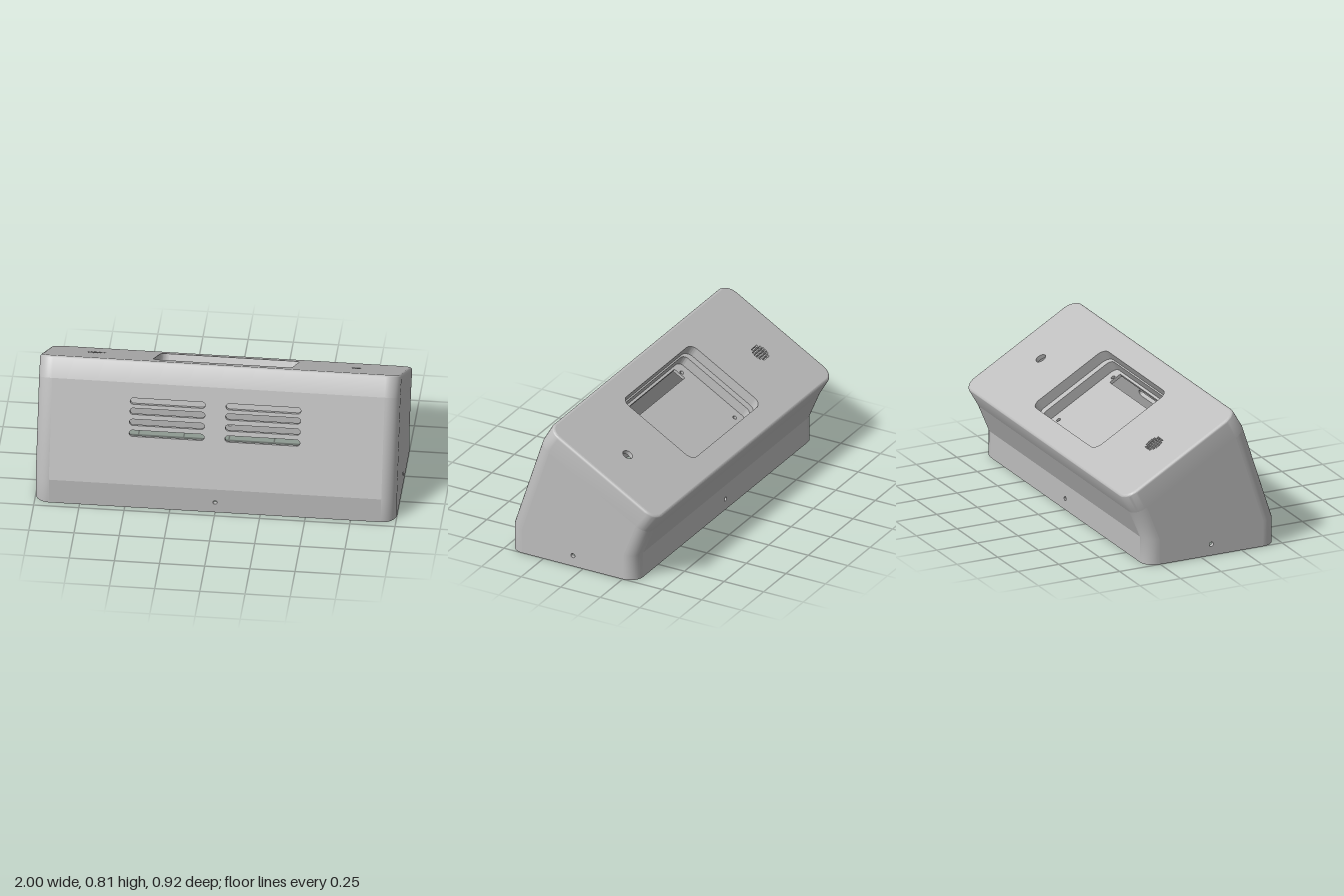
import * as THREE from 'three';
import { toCreasedNormals } from 'three/addons/utils/BufferGeometryUtils.js';

const R = 0.08;       // vertical corner radius
const T = 0.025;      // wall thickness
const B = 0.016;      // rounding of the top edge
const H = 0.125;      // height of the tilted collar
const L = 0.793;      // length of the sloped top
const U = [-0.866, -0.5];   // down-slope direction as (z, y)
const N = [-0.5, 0.866];    // normal of the sloped top as (z, y)

// Side profile points as (z, y)
const F0 = [0.465, 0], F1 = [0.465, 0.15], F2 = [0.285, 0.705];
const B0 = [-0.335, 0], B1 = [-0.335, 0.15];
const along = (p, d, k) => [p[0] + d[0] * k, p[1] + d[1] * k];
const B2 = along(F2, U, L);
const TOP_F = along(F2, N, H), TOP_B = along(B2, N, H);

const shell = new THREE.MeshStandardMaterial({ color: 0xbebebe });
shell.name = 'light grey plastic';
shell.side = THREE.DoubleSide;

function mesh(name, geometry) {
  const m = new THREE.Mesh(toCreasedNormals(geometry, 0.6), shell);
  m.name = name;
  return m;
}

// Rounded rectangle, or a plain one when r is 0
function rect(x0, y0, x1, y1, r = 0, Type = THREE.Path) {
  const p = new Type();
  if (!r) {
    p.moveTo(x0, y0).lineTo(x1, y0).lineTo(x1, y1).lineTo(x0, y1).closePath();
    return p;
  }
  const q = Math.PI / 2;
  p.moveTo(x0 + r, y0);
  p.absarc(x1 - r, y0 + r, r, -q, 0);
  p.absarc(x1 - r, y1 - r, r, 0, q);
  p.absarc(x0 + r, y1 - r, r, q, 2 * q);
  p.absarc(x0 + r, y0 + r, r, 2 * q, 3 * q);
  p.closePath();
  return p;
}
const disc = (x, y, r) => new THREE.Path().absarc(x, y, r, 0, Math.PI * 2);

// Plate whose outer face lies at the given local height
function plate(name, outline, holes, thickness, height = 0) {
  outline.holes.push(...holes);
  const g = new THREE.ExtrudeGeometry(outline, { depth: thickness, bevelEnabled: false, curveSegments: 10 });
  return mesh(name, g.translate(0, 0, height - thickness));
}

// Lay an object on the plane that runs from a to b in the side profile
function lay(object, a, b) {
  object.position.set(0, a[1], a[0]);
  object.rotation.x = Math.atan2(b[0] - a[0], b[1] - a[1]);
  return object;
}
const span = (a, b) => Math.hypot(b[0] - a[0], b[1] - a[1]);
function wall(name, a, b, holes = []) {
  const outline = rect(R - 1, 0, 1 - R, span(a, b), 0, THREE.Shape);
  return lay(plate(name, outline, holes, T), a, b);
}

// Skin a stack of closed rings
function loft(rings, extra = []) {
  const n = rings[0].length, index = [...extra];
  for (let i = 0; i < rings.length - 1; i++) {
    for (let j = 0; j < n; j++) {
      const a = i * n + j, b = i * n + (j + 1) % n;
      index.push(a, b, b + n, a, b + n, a + n);
    }
  }
  const g = new THREE.BufferGeometry().setFromPoints(rings.flat());
  g.setIndex(index);
  return g;
}

// Hollow vertical corner that follows the front or back edge
function corner(name, sx, sz) {
  const n = 10;
  const inward = [-sz, 0], tilt = sz > 0 ? U : [-U[0], -U[1]];
  const edge = sz > 0 ? [F0, F1, F2] : [B0, B1, B2];
  const rings = edge.map((e, k) => {
    const d = k === 2 ? tilt : inward;
    const point = (q, i) => {
      const a = i / n * Math.PI / 2;
      const p = along(e, d, R - (R - q) * Math.cos(a));
      return new THREE.Vector3(sx * (1 - R + (R - q) * Math.sin(a)), p[1], p[0]);
    };
    const ring = [];
    for (let i = 0; i <= n; i++) ring.push(point(0, i));
    for (let i = n; i >= 0; i--) ring.push(point(T, i));
    return sx * sz > 0 ? ring : ring.reverse();
  });
  const rim = [], m = 2 * n + 1;
  for (let i = 0; i < n; i++) rim.push(i, m - i, i + 1, i + 1, m - i, m - i - 1);
  return mesh(name, loft(rings, rim));
}

// Tilted collar with a rounded upper edge, in the frame of the sloped top
function collar() {
  const profile = [[T, -T], [T, -H], [0, -H]];
  for (let i = 0; i <= 5; i++) {
    const a = i / 5 * Math.PI / 2;
    profile.push([B - B * Math.cos(a), -B + B * Math.sin(a)]);
  }
  const rings = profile.map(([q, h]) => {
    const ring = [];
    [[1, 1], [-1, 1], [-1, -1], [1, -1]].forEach(([cx, cy], k) => {
      for (let i = 0; i <= 10; i++) {
        const a = (k + i / 10) * Math.PI / 2;
        ring.push(new THREE.Vector3(
          cx * (1 - R) + (R - q) * Math.cos(a),
          L / 2 + cy * (L / 2 - R) + (R - q) * Math.sin(a), h));
      }
    });
    return ring;
  });
  return mesh('topCollar', loft(rings));
}

function sidePanel(name, sx) {
  const up = [-U[0], -U[1]];
  const profile = [along(F0, [-1, 0], R), along(F1, [-1, 0], R), along(F2, U, R),
    along(B2, up, R), along(B1, [1, 0], R), along(B0, [1, 0], R)];
  const outline = new THREE.Shape(profile.map(([z, y]) => new THREE.Vector2(-sx * z, y)));
  const panel = plate(name, outline, [disc(-sx * 0.065, 0.065, 0.013)], T);
  panel.rotation.y = sx * Math.PI / 2;
  panel.position.x = sx;
  return panel;
}

export function createModel() {
  const model = new THREE.Group();
  model.name = 'slopedEnclosure';

  // Front and back walls, with vent slots and screw holes
  const vents = [];
  for (const y of [0.294, 0.357, 0.42, 0.478]) {
    for (const x of [-0.485, 0.045]) vents.push(rect(x, y - 0.018, x + 0.415, y + 0.018, 0.0179));
  }
  model.add(
    wall('frontBase', F0, F1, [disc(0, 0.065, 0.012)]),
    wall('frontVentWall', F1, F2, vents),
    wall('backSlope', B2, B1),
    wall('backBase', B1, B0, [disc(0, 0.085, 0.012)]));

  // Thick inner wall behind the uppermost vents
  const backing = rect(-0.92, 0.455, 0.92, 0.57, 0, THREE.Shape);
  model.add(lay(plate('ventBacking', backing, [], 0.02, -T), F1, F2));

  // Sides and rounded corners
  for (const sx of [1, -1]) {
    const side = sx > 0 ? 'left' : 'right';
    model.add(sidePanel(side + 'Side', sx));
    model.add(corner(side + 'FrontCorner', sx, 1), corner(side + 'BackCorner', sx, -1));
  }

  // Sloped top with display opening, button hole and speaker slits
  const top = lay(new THREE.Group(), TOP_F, TOP_B);
  top.name = 'slopedTop';
  const holes = [rect(-0.385, 0.1415, 0.385, 0.655, 0.05), disc(0.72, 0.4, 0.03)];
  for (let i = 0; i < 6; i++) {
    const y = (i - 2.5) * 0.0165;
    const w = Math.sqrt(0.051 ** 2 - y * y);
    holes.push(rect(-0.72 - w, 0.428 + y - 0.0055, -0.72 + w, 0.428 + y + 0.0055));
  }
  top.add(collar(), plate('topPlate',
    rect(B - 1, B, 1 - B, L - B, R - B, THREE.Shape), holes, T));

  // Stepped display tray
  const outer = () => rect(-0.4, 0.1265, 0.4, 0.67, 0.06, THREE.Shape);
  const lower = () => rect(-0.36, 0.135, 0.36, 0.659, 0.045, THREE.Shape);
  const opening = () => rect(-0.345, 0.15, 0.345, 0.644, 0.035);
  const floorHoles = [rect(-0.27, 0.165, 0.27, 0.24)];
  for (const x of [-0.29, 0.29]) floorHoles.push(disc(x, 0.205, 0.012), disc(x, 0.592, 0.012));
  top.add(
    plate('trayRim', outer(), [rect(-0.385, 0.1415, 0.385, 0.655, 0.05)], 0.035, -T),
    plate('trayLedge', outer(), [opening()], 0.015, -0.06),
    plate('trayWall', lower(), [opening()], 0.045, -0.075),
    plate('trayFloor', lower(), floorHoles, 0.018, -0.12));
  model.add(top);
  return model;
}
